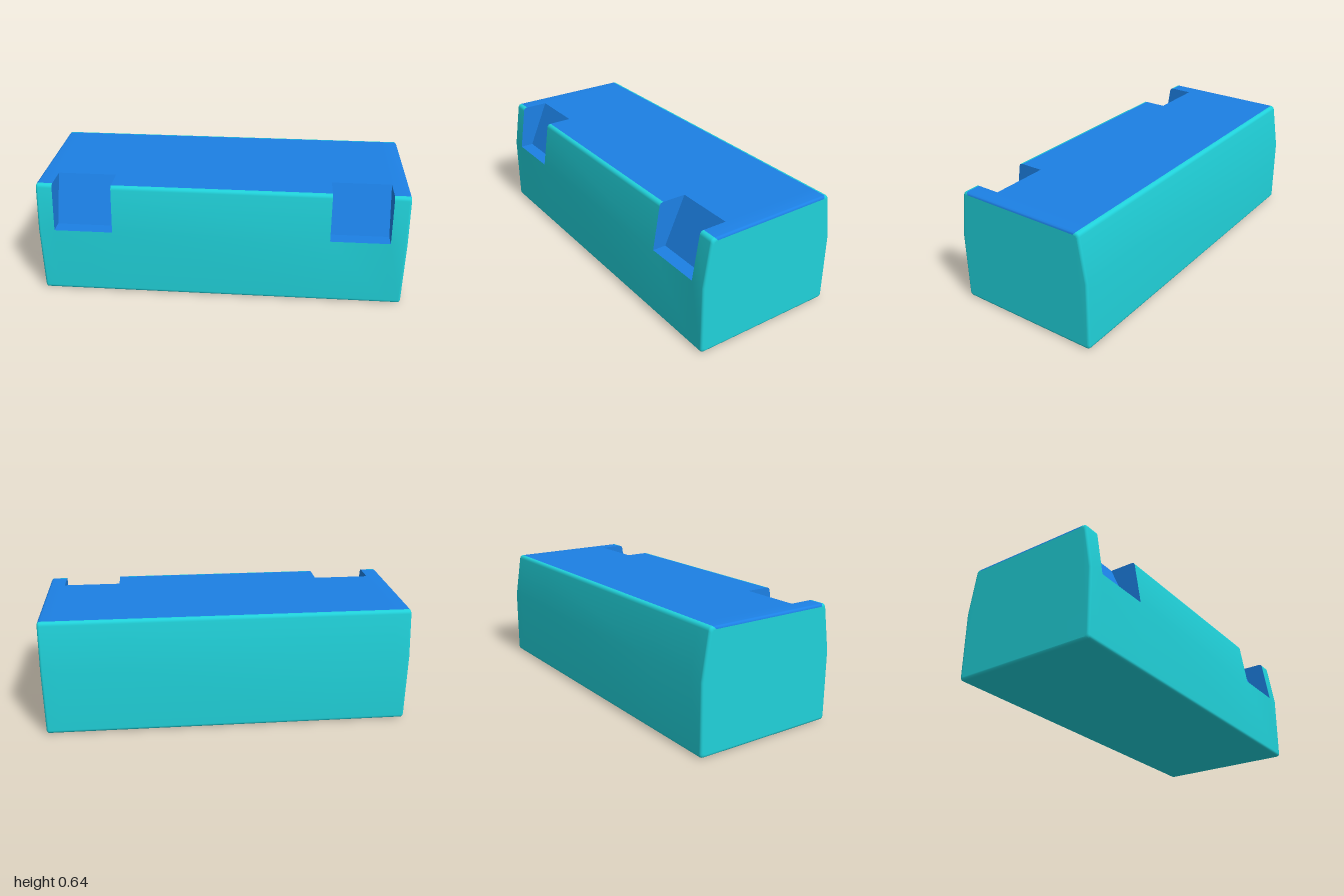
import * as THREE from 'three';
import { mergeGeometries, mergeVertices, toCreasedNormals } from 'three/addons/utils/BufferGeometryUtils.js';

const H = 0.638, D = 0.41, TOP = 0.369, CHINE = 0.38, R = 0.02;
const NOTCH_IN = 0.59, NOTCH_OUT = 0.91, NOTCH_BACK = 0.22, FLOOR_BACK = 0.335;
const V = (z, y) => new THREE.Vector2(z, y);

// Rounded corner at b on the way from a to c
function corner(a, b, c) {
  const p = b.clone().add(a.clone().sub(b).setLength(R));
  const q = b.clone().add(c.clone().sub(b).setLength(R));
  return new THREE.QuadraticBezierCurve(p, b, q).getPoints(5);
}

// Skin between cross-sections; each station is [x, inset towards the centre]
function loft(profile, stations) {
  const pos = [], idx = [], n = profile.length;
  for (const [x, inset] of stations)
    for (const p of profile)
      pos.push(x, H / 2 + (p.y - H / 2) * (1 - inset / (H / 2)), p.x * (1 - inset / D));
  for (let i = 0; i < stations.length - 1; i++)
    for (let j = 0; j < n - 1; j++) {
      const a = i * n + j, b = a + n;
      idx.push(a, a + 1, b + 1, a, b + 1, b);
    }
  return build(pos, idx);
}

// Flat panel at x, facing +x or -x
function panel(outline, x, facing, inset = 0) {
  const pos = [], idx = [];
  for (const p of outline)
    pos.push(x, H / 2 + (p.y - H / 2) * (1 - inset / (H / 2)), p.x * (1 - inset / D));
  for (const [a, b, c] of THREE.ShapeUtils.triangulateShape(outline, [])) {
    const area = THREE.ShapeUtils.area([outline[a], outline[b], outline[c]]);
    if (area * facing < 0) idx.push(a, b, c);
    else idx.push(a, c, b);
  }
  return build(pos, idx);
}

function build(pos, idx) {
  const g = new THREE.BufferGeometry();
  g.setAttribute('position', new THREE.Float32BufferAttribute(pos, 3));
  g.setIndex(idx);
  return g;
}

export function createModel() {
  const group = new THREE.Group();
  const teal = new THREE.MeshStandardMaterial({ color: 0x20d2da });
  const blue = new THREE.MeshStandardMaterial({ color: 0x1c80e4 });

  // Cross-section corners, seen as (z, y)
  const topB = V(-TOP, H), topF = V(TOP, H), chineF = V(D, CHINE), chineB = V(-D, CHINE);
  const botF = V(D, 0), botB = V(-D, 0);
  const upperFront = [...corner(topB, topF, chineF), chineF];
  const lowerShell = [chineF, ...corner(chineF, botF, botB), ...corner(botF, botB, chineB),
    chineB, ...corner(chineB, topB, topF)];
  const topBack = lowerShell[lowerShell.length - 1], topFront = upperFront[0];
  const topNotch = V(NOTCH_BACK, H);

  // Stations along x, with rounded ends
  const right = [], r = 0.014;
  for (let i = 0; i <= 4; i++) {
    const t = (i / 4) * Math.PI / 2;
    right.push([-1 + r * (1 - Math.sin(t)), r * (1 - Math.cos(t))]);
  }
  right.reverse();
  // order runs from the end face inwards
  right.sort((a, b) => a[0] - b[0]);
  for (const s of right) s[1] = r - Math.sqrt(Math.max(0, r * r - (r - (s[0] + 1)) ** 2));
  right.push([-NOTCH_OUT, 0]);
  const left = right.map(([x, k]) => [-x, k]).reverse();
  const middle = [[-NOTCH_IN, 0], [NOTCH_IN, 0]];
  const all = [...right, ...middle, ...left];
  const solid = [right, middle, left];

  // Teal casing: lower shell, upper front strips and end faces
  const full = [...upperFront, ...lowerShell.slice(1)];
  const casing = mergeVertices(mergeGeometries([
    loft(lowerShell, all),
    ...solid.map((s) => loft(upperFront, s)),
    panel(full, -1, -1, r),
    panel(full, 1, 1, r),
  ]));
  casing.computeVertexNormals();
  const body = new THREE.Mesh(casing, teal);
  body.name = 'casing';
  group.add(body);

  // Blue top, cut away at the two notches
  const top = new THREE.Mesh(toCreasedNormals(mergeGeometries([
    loft([topBack, topNotch], all),
    ...solid.map((s) => loft([topNotch, topFront], s)),
  ]), 0.5), blue);
  top.name = 'topPanel';
  group.add(top);

  // Notches: sloping back wall, floor and two side walls
  const wall = [topNotch, ...upperFront, V(FLOOR_BACK, CHINE)];
  for (const side of [-1, 1]) {
    const x0 = side < 0 ? -NOTCH_OUT : NOTCH_IN, x1 = side < 0 ? -NOTCH_IN : NOTCH_OUT;
    const notch = new THREE.Mesh(toCreasedNormals(mergeGeometries([
      loft([topNotch, V(FLOOR_BACK, CHINE), chineF], [[x0, 0], [x1, 0]]),
      panel(wall, x0, 1),
      panel(wall, x1, -1),
    ]), 0.5), blue);
    notch.name = side < 0 ? 'rightNotch' : 'leftNotch';
    group.add(notch);
  }
  return group;
}
